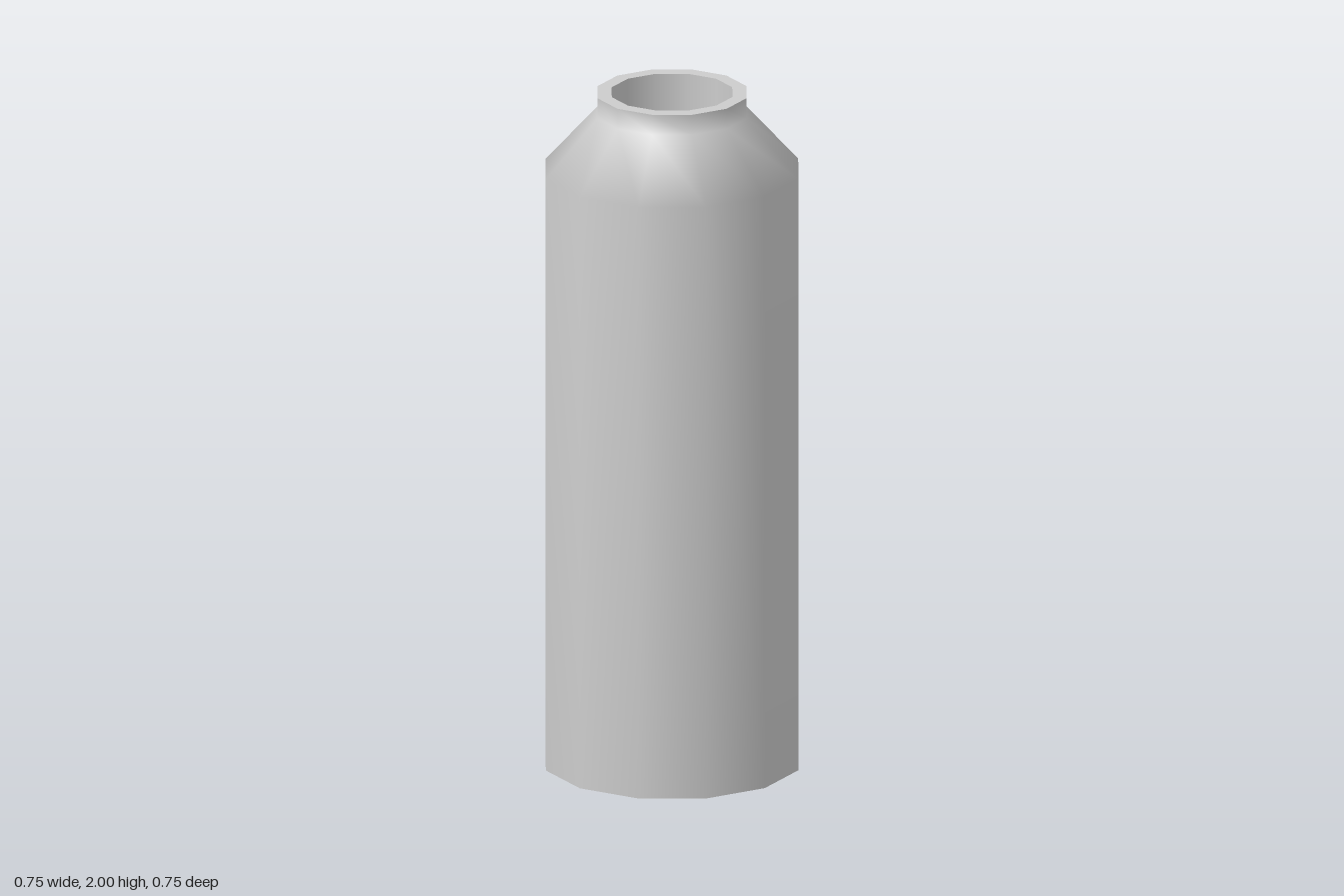
import * as THREE from 'three';

const SIDES = 12;

export function createModel() {
  const model = new THREE.Group();
  model.name = 'bottle';
  const grey = new THREE.MeshStandardMaterial({ color: 0xcccccc });
  grey.name = 'plain grey';

  // Each part is its own turned profile, so edges between parts stay sharp.
  function turned(name, profile) {
    const points = profile.map(([r, y]) => new THREE.Vector2(r, y));
    const mesh = new THREE.Mesh(new THREE.LatheGeometry(points, SIDES), grey);
    mesh.name = name;
    model.add(mesh);
  }

  // Flat underside
  turned('base', [[0, 0], [0.373, 0]]);
  // Straight wall, sloping shoulder and short neck, shaded smoothly
  turned('body', [[0.373, 0], [0.373, 1.77], [0.22, 1.94], [0.22, 2]]);
  // Flat ring around the mouth
  turned('rim', [[0.22, 2], [0.178, 2]]);
  // Hollow of the mouth and its floor
  turned('mouthWall', [[0.178, 2], [0.178, 1.72]]);
  turned('mouthFloor', [[0.178, 1.72], [0, 1.72]]);

  return model;
}
